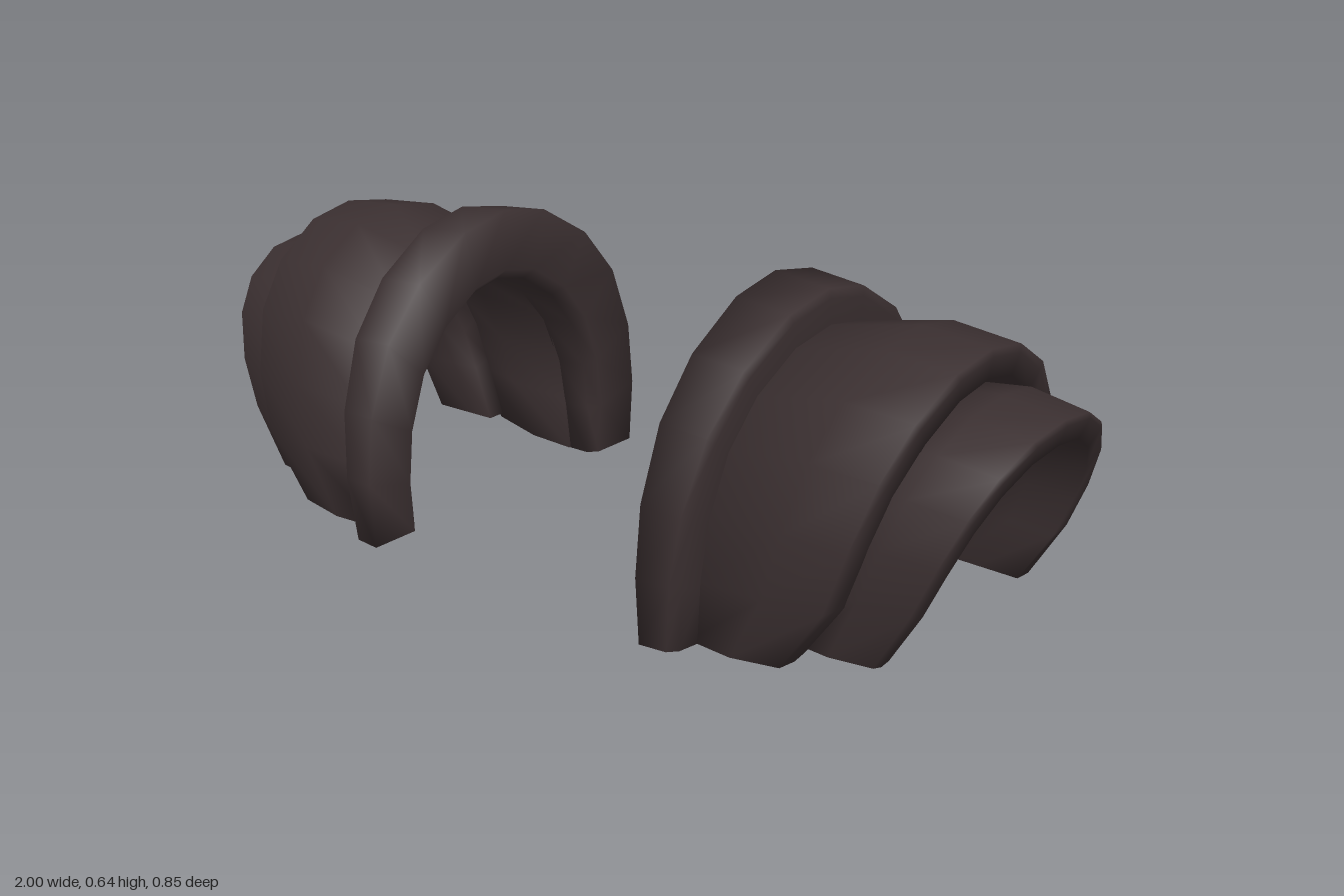
import * as THREE from 'three';

// Half of the arch from foot to crown: [depth fraction, height fraction]
const HALF = [[0.975, 0], [1, 0.22], [0.965, 0.443], [0.834, 0.669], [0.61, 0.84], [0.293, 0.964], [0, 1]];
const ARCH = [...HALF, ...HALF.slice(0, -1).reverse().map(([z, y]) => [-z, y])];

// Sweeps a closed profile over the arch, with smooth normals.
// Profile point: [x at foot, x at crown, half depth, crown height, foot height]
// round: below 1 makes the arch squarer; lean: below 1 makes the edges bow outward
function archBand({ profile, round, lean }, side) {
  const n = profile.length, rows = ARCH.length;
  const positions = [], index = [];
  for (const [z, y] of ARCH) {
    const zf = Math.sign(z) * Math.abs(z) ** round;
    const yf = y ** round, xf = y ** lean;
    for (const [x0, x1, depth, top, base] of profile) {
      positions.push(side * (x0 + (x1 - x0) * xf), base + (top - base) * yf, depth * zf);
    }
  }
  const tri = (a, b, c) => (side > 0 ? index.push(a, b, c) : index.push(a, c, b));
  for (let j = 0; j < rows - 1; j++) {
    for (let i = 0; i < n; i++) {
      const a = j * n + i, b = j * n + (i + 1) % n;
      tri(a, b, b + n);
      tri(a, b + n, a + n);
    }
  }
  // Feet at both ends
  const e = (rows - 1) * n;
  for (let i = 1; i < n - 1; i++) {
    tri(0, i + 1, i);
    tri(e, e + i, e + i + 1);
  }
  const geometry = new THREE.BufferGeometry();
  geometry.setAttribute('position', new THREE.Float32BufferAttribute(positions, 3));
  geometry.setIndex(index);
  geometry.computeVertexNormals();
  return geometry;
}

const BANDS = {
  // Thick rim beside the neck
  collarBand: {
    round: 1, lean: 1,
    profile: [
      [0.355, 0.355, 0.427, 0.643, 0], [0.415, 0.482, 0.42, 0.63, 0], [0.432, 0.485, 0.40, 0.61, 0],
      [0.445, 0.49, 0.35, 0.55, 0.004], [0.43, 0.48, 0.285, 0.475, 0.002],
      [0.375, 0.385, 0.29, 0.485, 0], [0.355, 0.355, 0.31, 0.51, 0],
    ],
  },
  // Wide bulging plate
  middleBand: {
    round: 0.94, lean: 0.5,
    profile: [
      [0.42, 0.465, 0.355, 0.555, 0.003], [0.53, 0.69, 0.373, 0.60, 0.008], [0.635, 0.84, 0.36, 0.585, 0.015],
      [0.652, 0.843, 0.335, 0.57, 0.025], [0.645, 0.835, 0.29, 0.525, 0.025],
      [0.53, 0.68, 0.278, 0.495, 0.008], [0.42, 0.465, 0.28, 0.475, 0.003],
    ],
  },
  // Narrow plate over the upper arm
  outerBand: {
    round: 0.84, lean: 0.66,
    profile: [
      [0.64, 0.77, 0.292, 0.492, 0.035], [0.70, 0.87, 0.298, 0.504, 0.035], [0.79, 0.995, 0.283, 0.484, 0.035],
      [0.80, 1.0, 0.272, 0.474, 0.037], [0.795, 0.985, 0.238, 0.433, 0.035],
      [0.70, 0.87, 0.243, 0.44, 0.034], [0.64, 0.77, 0.245, 0.435, 0.034],
    ],
  },
};

export function createModel() {
  const model = new THREE.Group();
  model.name = 'shoulderGuards';
  const leather = new THREE.MeshStandardMaterial({ color: 0x3a2f30 });
  leather.name = 'darkLeather';

  for (const side of [1, -1]) {
    const guard = new THREE.Group();
    guard.name = side > 0 ? 'leftShoulderGuard' : 'rightShoulderGuard';
    for (const [name, shape] of Object.entries(BANDS)) {
      const band = new THREE.Mesh(archBand(shape, side), leather);
      band.name = name;
      guard.add(band);
    }
    model.add(guard);
  }
  return model;
}
